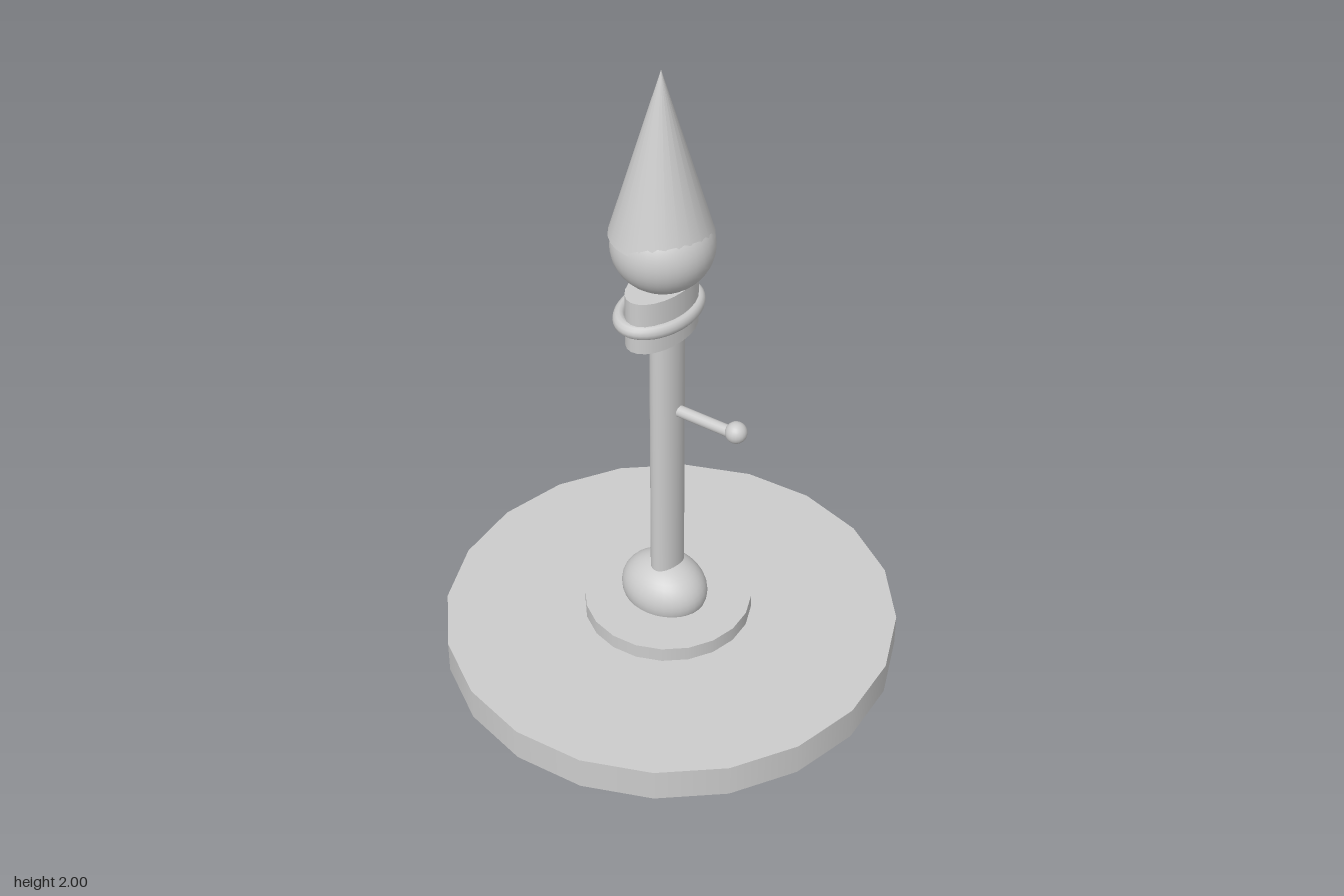
import * as THREE from 'three';

const material = new THREE.MeshStandardMaterial({ color: 0xcccccc });

export function createModel() {
  const group = new THREE.Group();

  const add = (name, geometry, [x, y, z], [sx, sy, sz] = [1, 1, 1]) => {
    const mesh = new THREE.Mesh(geometry, material);
    mesh.name = name;
    mesh.position.set(x, y, z);
    mesh.scale.set(sx, sy, sz);
    group.add(mesh);
    return mesh;
  };

  // Upright elliptical cylinder between two heights
  const drum = (name, x, z, rx, rz, y0, y1, sides = 20) =>
    add(name, new THREE.CylinderGeometry(1, 1, y1 - y0, sides), [x, (y0 + y1) / 2, z], [rx, 1, rz]);

  // Stepped foot
  drum('base', 0, 0, 0.705, 0.705, 0.01, 0.117);
  drum('baseStep', -0.017, -0.007, 0.26, 0.26, 0.11, 0.165);
  add('footDome', new THREE.SphereGeometry(1, 32, 20), [-0.029, 0.192, -0.005], [0.143, 0.107, 0.119]);

  // Pole runs right through the foot
  drum('pole', -0.025, -0.014, 0.043, 0.062, 0, 1.2, 24);

  // Oval collar with a ring around it
  drum('collar', -0.042, -0.012, 0.077, 0.136, 1.155, 1.325, 24);
  const ring = new THREE.TorusGeometry(0.138, 0.022, 12, 40).rotateX(Math.PI / 2);
  add('collarRing', ring, [-0.055, 1.228, -0.015], [0.69, 1, 1]);

  // Finial: ball topped by a spike
  add('finialBall', new THREE.SphereGeometry(1, 32, 24), [-0.037, 1.457, -0.01], [0.15, 0.138, 0.15]);
  add('finialSpike', new THREE.ConeGeometry(0.151, 0.512, 24), [-0.045, 1.744, -0.014]);

  // Side peg with a knob
  const start = new THREE.Vector3(-0.02, 0.887, -0.018);
  const end = new THREE.Vector3(0.214, 0.893, -0.036);
  const peg = add('peg', new THREE.CylinderGeometry(0.018, 0.018, start.distanceTo(end), 16),
    start.clone().lerp(end, 0.5).toArray());
  peg.quaternion.setFromUnitVectors(new THREE.Vector3(0, 1, 0), end.clone().sub(start).normalize());
  add('pegKnob', new THREE.SphereGeometry(0.033, 20, 14), [0.214, 0.897, -0.039]);

  return group;
}
